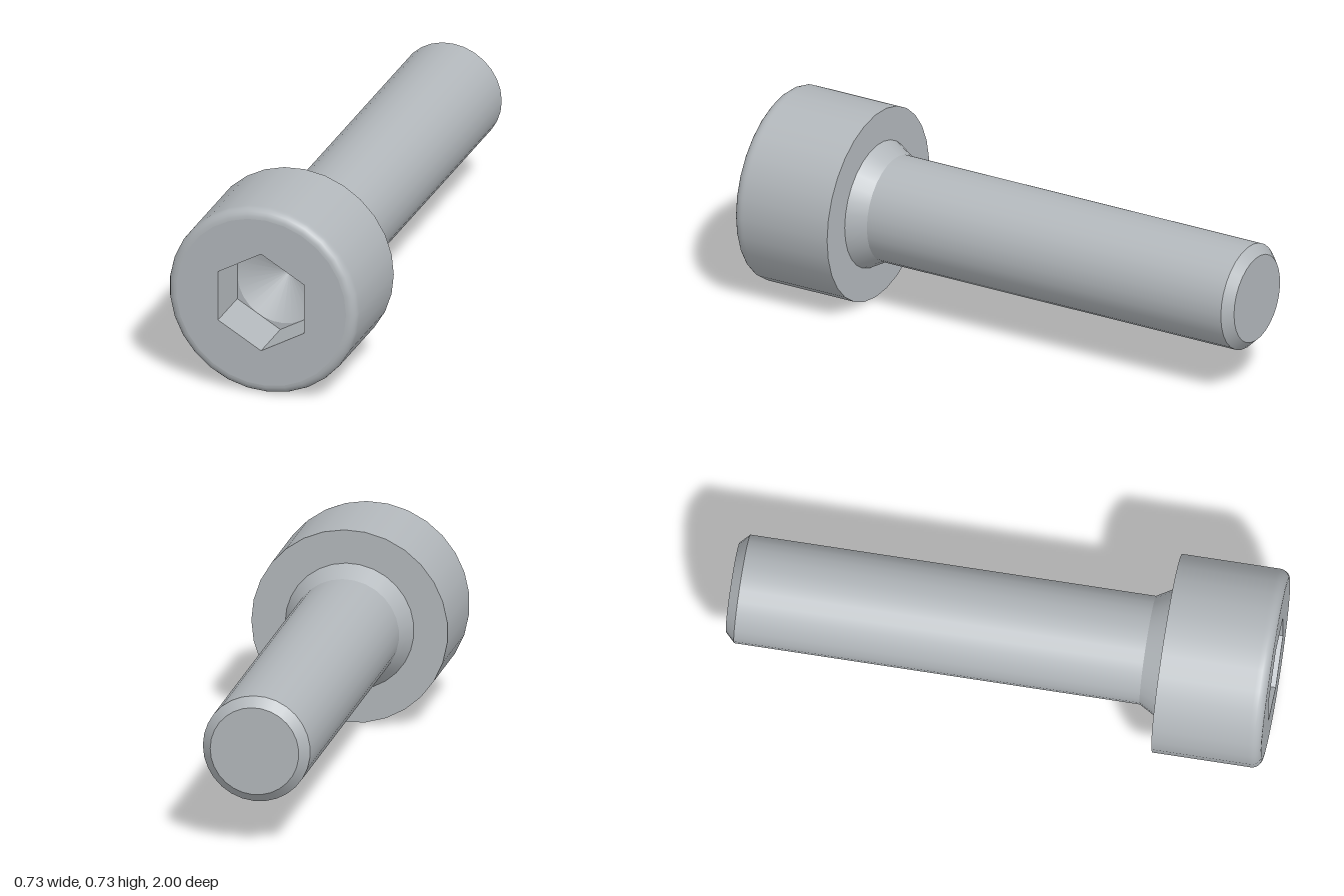
import * as THREE from 'three';

const SIDES = 29;
const HEAD_R = 0.366, SHANK_R = 0.2, EDGE = 0.036;
const HEX_R = 0.193, HEX_IN = HEX_R * Math.cos(Math.PI / 6);
const HEAD_BACK = 0.6, FLOOR = 0.8;

// Closed ring of points around the axis
function ring(radius, count, start = 0) {
  return Array.from({ length: count }, (_, i) => {
    const a = start + (i / count) * Math.PI * 2;
    return new THREE.Vector2(radius * Math.cos(a), radius * Math.sin(a));
  });
}

export function createModel() {
  const steel = new THREE.MeshStandardMaterial({ color: 0xb2b7bb });
  steel.name = 'steel grey';

  const model = new THREE.Group();
  model.name = 'socketHeadScrew';

  function add(name, geometry) {
    const mesh = new THREE.Mesh(geometry, steel);
    mesh.name = name;
    mesh.position.y = HEAD_R;
    model.add(mesh);
    return mesh;
  }

  // Turned surface about the z axis; profile points are [radius, z]
  function turned(name, profile) {
    const points = profile.map(([r, z]) => new THREE.Vector2(r, z));
    const geometry = new THREE.LatheGeometry(points, SIDES, Math.PI / 2);
    return add(name, geometry.rotateX(Math.PI / 2));
  }

  // Flat face across the axis with a hole through it
  function plate(name, outline, hole, z) {
    const shape = new THREE.Shape(outline);
    shape.holes.push(new THREE.Path(hole));
    add(name, new THREE.ShapeGeometry(shape).translate(0, 0, z));
  }

  // Shank: separate sections keep the edges crisp
  const tipR = SHANK_R - 0.035;
  turned('shankTip', [[0, -1], [tipR, -1]]);
  turned('shankChamfer', [[tipR, -1], [SHANK_R, -0.965]]);
  turned('shank', [[SHANK_R, -0.965], [SHANK_R, 0.53]]);
  turned('neck', [[SHANK_R, 0.53], [0.24, HEAD_BACK]]);

  // Head: flat underside, barrel and rounded front edge
  turned('headUnderside', [[0.24, HEAD_BACK], [HEAD_R, HEAD_BACK]]);
  const barrel = [[HEAD_R, HEAD_BACK], [HEAD_R, 0.955]];
  for (let i = 0; i <= 6; i++) {
    const a = (i / 6) * Math.PI / 2;
    barrel.push([HEAD_R - EDGE + EDGE * Math.cos(a), 1 - EDGE + EDGE * Math.sin(a)]);
  }
  turned('headBarrel', barrel);

  // Front face with the hexagonal opening
  const hexagon = ring(HEX_R, 6, Math.PI / 2);
  plate('headFace', ring(HEAD_R - EDGE, SIDES), hexagon, 1);

  // Socket: six inward walls, a flat floor and a drilled cone
  const depth = 1 - FLOOR;
  for (let i = 0; i < 6; i++) {
    const wall = new THREE.PlaneGeometry(HEX_R, depth)
      .translate(0, FLOOR + depth / 2, -HEX_IN)
      .rotateY(Math.PI / 6 + (i * Math.PI) / 3)
      .rotateX(Math.PI / 2);
    add('socketWall' + (i + 1), wall);
  }
  const drillR = HEX_IN - 0.001;
  plate('socketFloor', hexagon, ring(drillR, SIDES), FLOOR);
  turned('socketCone', [[drillR, FLOOR], [0, FLOOR - 0.097]]);

  return model;
}
